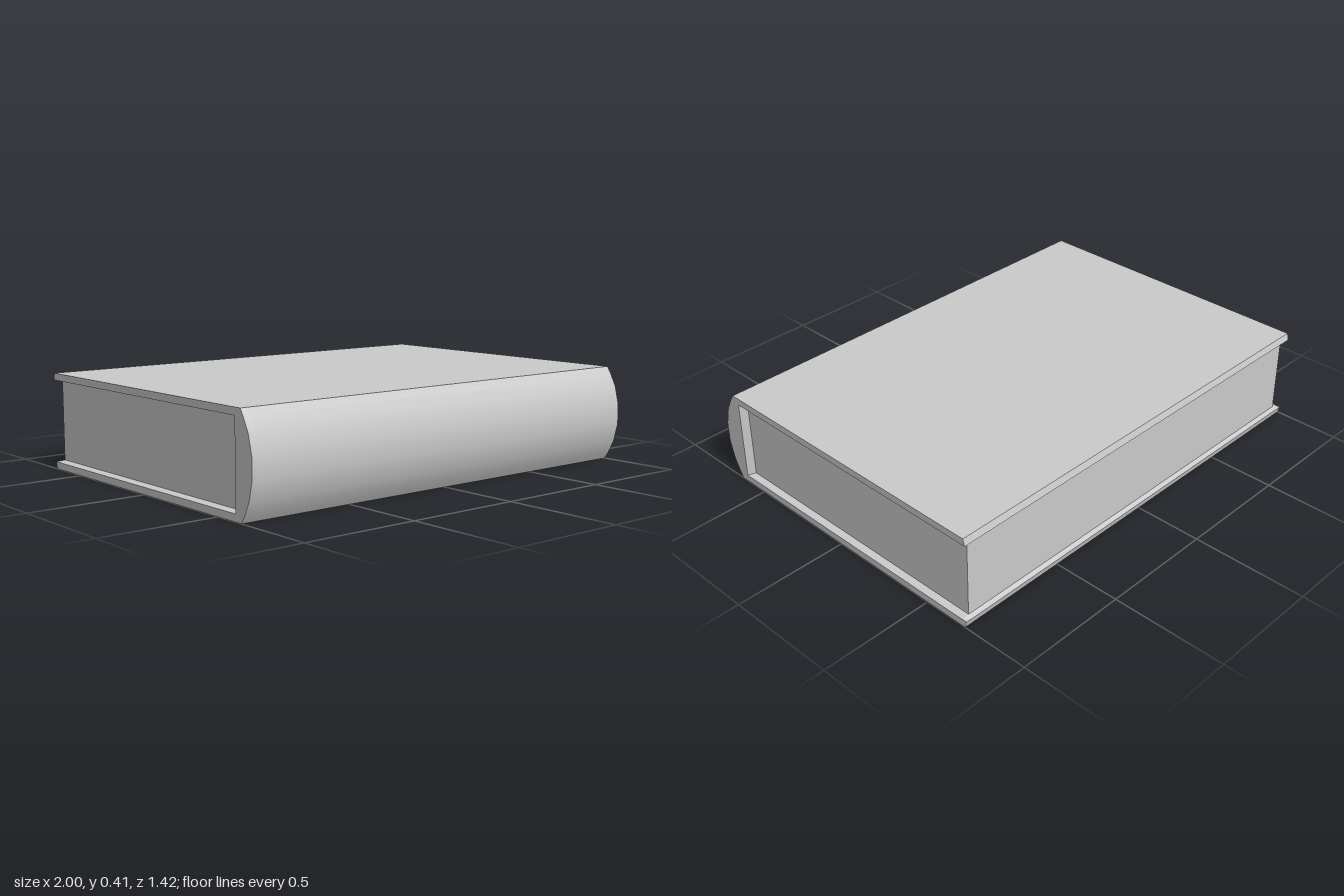
import * as THREE from 'three';
import { toCreasedNormals } from 'three/addons/utils/BufferGeometryUtils.js';

const H = 0.413; // thickness of the closed book
const PAGE_END = 0.97; // half length of the page block
const material = new THREE.MeshStandardMaterial({ color: 0xcccccc });

// Upper half of the C-shaped cover section as [z, y]; the lower half mirrors it.
// The inner lip (y) and spine wall (z) slope towards the page block.
function coverSection(lip, wall) {
  const upper = [
    [wall, lip], [-0.69, lip], [-0.71, 0.383], [-0.702, H],
    [0.644, H], [0.663, 0.383], [0.69, 0.33], [0.71, 0.25],
  ];
  const lower = upper.map(([z, y]) => [z, H - y]).reverse();
  return [...upper, ...lower];
}

// Loft the cover along x through four sections and cap both ends
function coverGeometry() {
  const outer = coverSection(0.383, 0.61);
  const inner = coverSection(0.376, 0.59);
  const sections = [[-1, outer], [-PAGE_END, inner], [PAGE_END, inner], [1, outer]];
  const n = outer.length;
  const positions = [];
  const index = [];
  for (const [x, section] of sections) {
    for (const [z, y] of section) positions.push(x, y, z);
  }
  for (let s = 0; s < sections.length - 1; s++) {
    for (let j = 0; j < n; j++) {
      const a = s * n + j;
      const b = s * n + (j + 1) % n;
      index.push(a, b, b + n, a, b + n, a + n);
    }
  }
  const contour = outer.map(([z, y]) => new THREE.Vector2(-z, y));
  const last = (sections.length - 1) * n;
  for (const [a, b, c] of THREE.ShapeUtils.triangulateShape(contour, [])) {
    index.push(a + last, b + last, c + last, c, b, a);
  }
  const geometry = new THREE.BufferGeometry();
  geometry.setAttribute('position', new THREE.Float32BufferAttribute(positions, 3));
  geometry.setIndex(index);
  return toCreasedNormals(geometry, 0.3);
}

export function createModel() {
  const book = new THREE.Group();
  book.name = 'book';

  // Hard cover with rounded spine
  const cover = new THREE.Mesh(coverGeometry(), material);
  cover.name = 'cover';

  // Page block set back between the boards
  const pages = new THREE.Mesh(new THREE.BoxGeometry(2 * PAGE_END, 0.339, 1.28), material);
  pages.name = 'pages';
  pages.position.set(0, H / 2, -0.05);

  book.add(cover, pages);
  return book;
}
